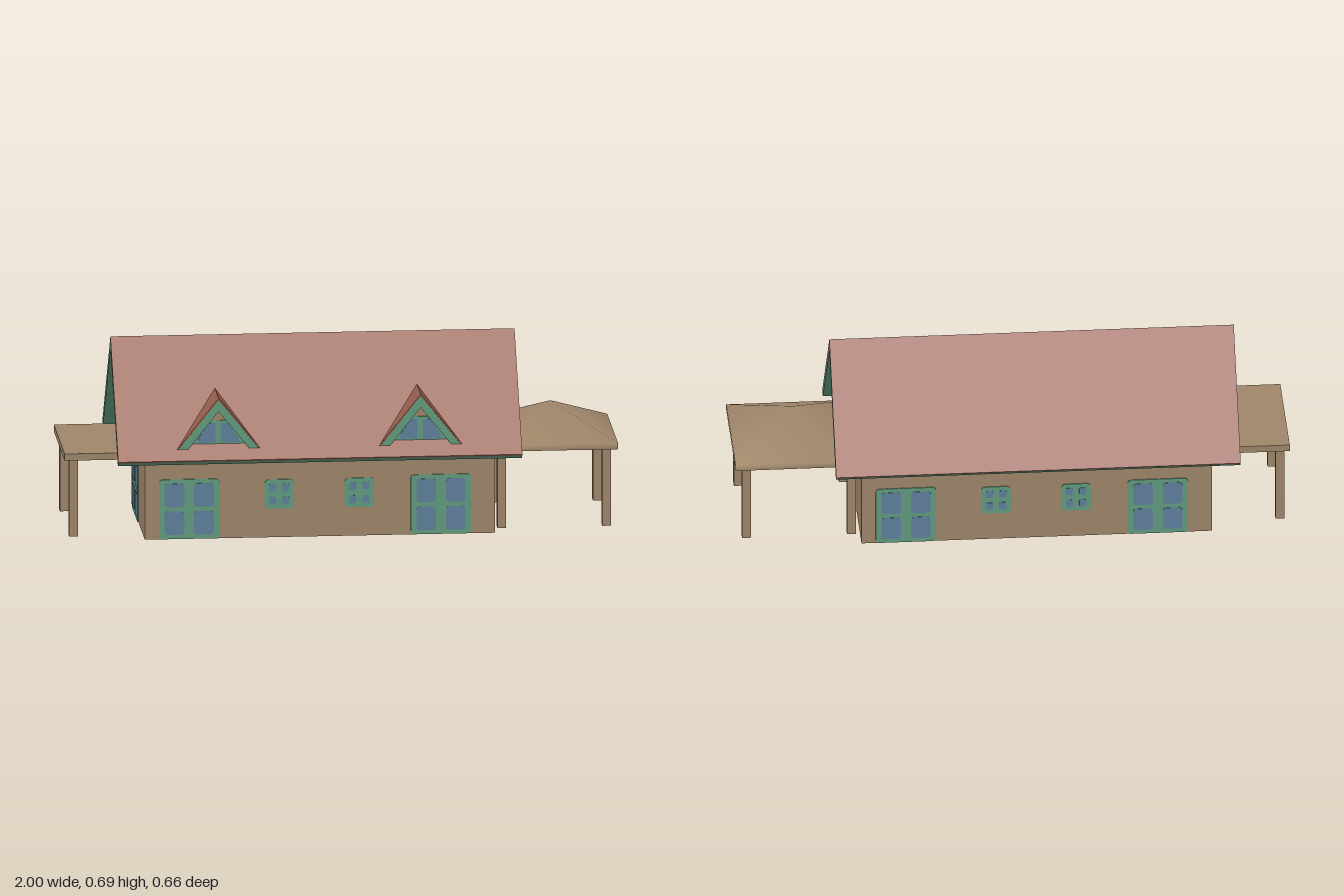
import * as THREE from 'three';

const mat = (name, color, side = THREE.FrontSide) => {
  const m = new THREE.MeshStandardMaterial({ color, side });
  m.name = name;
  return m;
};

export function createModel() {
  const house = new THREE.Group();
  house.name = 'house';
  const wall = mat('tan wall', 0x9f866a, THREE.DoubleSide);
  const tile = mat('red roof', 0x985f4e);
  const trim = mat('green trim', 0x629b7f);
  const glass = mat('blue glass', 0x5f7f9c);

  const X0 = -0.715, X1 = 0.55, Z = 0.283;   // wall limits
  const R0 = -0.815, R1 = 0.645;             // roof limits

  const add = (name, geo, material, parent = house) => {
    const m = new THREE.Mesh(geo, material);
    m.name = name;
    parent.add(m);
    return m;
  };
  const shape = pts => new THREE.Shape(pts.map(p => new THREE.Vector2(...p)));
  const prism = (pts, depth) =>
    new THREE.ExtrudeGeometry(shape(pts), { depth, bevelEnabled: false });
  // z-y profile swept from xa to xb
  const sweepX = (pts, xa, xb) =>
    prism(pts, xb - xa).rotateY(Math.PI / 2).translate(xa, 0, 0);
  const box = (name, x0, x1, y0, y1, z0, z1) =>
    add(name, new THREE.BoxGeometry(x1 - x0, y1 - y0, z1 - z0)
      .translate((x0 + x1) / 2, (y0 + y1) / 2, (z0 + z1) / 2), wall);

  // Walls: open shell
  for (const s of [1, -1]) {
    const side = add(s > 0 ? 'frontWall' : 'backWall', new THREE.PlaneGeometry(X1 - X0, 0.318), wall);
    side.position.set((X0 + X1) / 2, 0.159, s * Z);
    if (s < 0) side.rotation.y = Math.PI;
    const gable = add(s > 0 ? 'leftGable' : 'rightGable', new THREE.ShapeGeometry(
      shape([[-Z, 0], [Z, 0], [Z, 0.318], [0, 0.643], [-Z, 0.318]])), wall);
    gable.rotation.y = s * Math.PI / 2;
    gable.position.x = s > 0 ? X1 : X0;
  }

  // Main roof: tiles over green lining on the overhangs
  add('roofTiles', sweepX([[-0.332, 0.3], [-0.326, 0.294], [0, 0.662],
    [0.326, 0.294], [0.332, 0.3], [0, 0.687]], R0, R1), tile);
  const lining = [[-0.326, 0.294], [-0.313, 0.282], [0, 0.641],
    [0.313, 0.282], [0.326, 0.294], [0, 0.662]];
  add('rightBargeboard', sweepX(lining, R0, X0), trim);
  add('leftBargeboard', sweepX(lining, X1, R1), trim);
  for (const s of [1, -1]) {
    add('eaveBoard', sweepX([[s * Z, 0.342], [s * Z, 0.317], [s * 0.313, 0.282],
      [s * 0.326, 0.294]], X0, X1), trim);
  }

  // Plate with softened corners, centred on z = 0
  const plate = (w, h, r, t) => {
    const a = w / 2, b = h / 2;
    return prism([[-a + r, -b], [a - r, -b], [a - r * 0.3, -b + r * 0.3], [a, -b + r],
      [a, b - r], [a - r * 0.3, b - r * 0.3], [a - r, b], [-a + r, b],
      [-a + r * 0.3, b - r * 0.3], [-a, b - r], [-a, -b + r], [-a + r * 0.3, -b + r * 0.3]], t)
      .translate(0, 0, -t / 2);
  };
  // Four-pane opening, seen from both sides of the wall
  const opening = (name, w, h, mx, my, gx, gy, x, y, z, turn) => {
    const g = new THREE.Group();
    g.name = name;
    add('frame', plate(w, h, 0.012, 0.007), trim, g);
    const pw = (w - 2 * mx - gx) / 2, ph = (h - 2 * my - gy) / 2;
    for (const sx of [-1, 1]) for (const sy of [-1, 1]) {
      add('pane', plate(pw, ph, pw * 0.16, 0.0095), glass, g)
        .position.set(sx * (pw + gx) / 2, sy * (ph + gy) / 2, 0);
    }
    g.position.set(x, y, z);
    g.rotation.y = turn;
    house.add(g);
  };
  const door = (w, x, z, turn) => opening('door', w, 0.22, 0.02, 0.015, 0.035, 0.016, x, 0.111, z, turn);
  const win = (x, y, z, turn) => opening('window', 0.106, 0.108, 0.016, 0.016, 0.022, 0.02, x, y, z, turn);

  for (const s of [1, -1]) {
    const turn = s > 0 ? 0 : Math.PI;
    const mid = (X0 + X1) / 2;
    for (const dx of [-0.4725, 0.437]) door(0.218, mid + s * dx, s * Z, turn);
    for (const dx of [-0.147, 0.142]) win(mid + s * dx, 0.16, s * Z, turn);
    const endX = s > 0 ? X1 : X0;
    door(0.235, endX, s * 0.0925, s * Math.PI / 2);
    win(endX, 0.39, 0, s * Math.PI / 2);
  }

  // Dormers on the front slope
  const chevron = (w, top, t, base = 0.335) => {
    const k = w / (top - base), v = w - t * k;
    return [[-w, base], [-v, base], [0, top - t], [v, base], [w, base], [0, top]];
  };
  for (const x of [-0.45, 0.28]) {
    const g = new THREE.Group();
    g.name = 'dormer';
    add('dormerTiles', prism(chevron(0.15, 0.522, 0.007), 0.2).translate(0, 0, 0.102), tile, g);
    add('dormerTrim', prism(chevron(0.144, 0.515, 0.042), 0.032).translate(0, 0, 0.2695), trim, g);
    add('dormerWall', new THREE.ShapeGeometry(
      shape([[-0.12, 0.335], [0.12, 0.335], [0, 0.485]])).translate(0, 0, 0.284), wall, g);
    add('dormerFrame', prism([[-0.098, 0.35], [0.098, 0.35], [0.035, 0.437], [-0.035, 0.437]], 0.004)
      .translate(0, 0, 0.284), trim, g);
    for (const s of [-1, 1]) {
      add('dormerPane', prism([[s * 0.01, 0.356], [s * 0.076, 0.356], [s * 0.07, 0.375],
        [s * 0.036, 0.428], [s * 0.01, 0.428]], 0.006).translate(0, 0, 0.284), glass, g);
    }
    g.position.x = x;
    house.add(g);
  }

  // Left porch: softly shaded pyramid roof with a rim
  const a = 0.225, b = 0.23;
  const ring = [[-a, b], [a, b], [a, -b], [-a, -b]];
  const verts = [0, 0.418, 0], idx = [];
  for (const y of [0.308, 0.287]) for (const [x, z] of ring) verts.push(x, y, z);
  for (let i = 0; i < 4; i++) {
    const j = (i + 1) % 4, t0 = 1 + i, t1 = 1 + j, b0 = 5 + i, b1 = 5 + j;
    idx.push(0, t0, t1, t0, b0, b1, t0, b1, t1);
  }
  const canopy = new THREE.BufferGeometry();
  canopy.setAttribute('position', new THREE.Float32BufferAttribute(verts, 3));
  canopy.setIndex(idx);
  canopy.computeVertexNormals();
  add('leftPorchRoof', canopy, wall).position.x = 0.775;
  const ceiling = add('leftPorchCeiling', new THREE.PlaneGeometry(2 * a, 2 * b), wall);
  ceiling.rotation.x = Math.PI / 2;
  ceiling.position.set(0.775, 0.287, 0);

  // Right porch: flat slab
  box('rightPorchRoof', -1, X0, 0.285, 0.31, -0.228, 0.228);

  // Porch posts
  for (const x of [0.581, 0.96, -0.966]) for (const z of [0.195, -0.195]) {
    box('porchPost', x - 0.016, x + 0.016, 0, 0.288, z - 0.016, z + 0.016);
  }
  return house;
}
